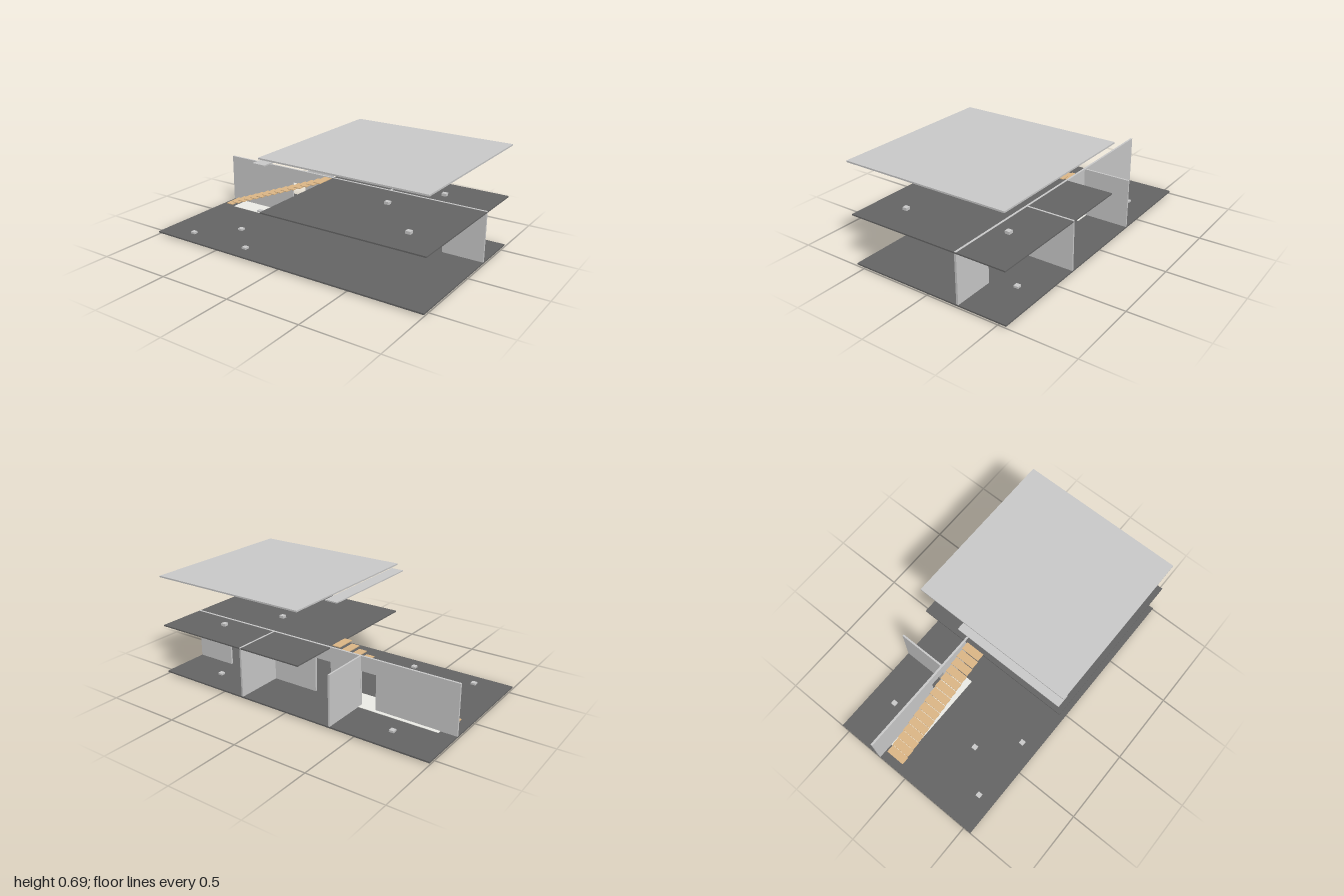
import * as THREE from 'three';

const paint = (color) => new THREE.MeshStandardMaterial({ color });

export function createModel() {
  const model = new THREE.Group();
  const grey = paint(0xcccccc);
  const dark = paint(0x666666);
  const wood = paint(0xdeb887);
  const pale = paint(0xeeeee8);

  // Box given by its extents along each axis
  const block = (name, [x0, x1], [y0, y1], [z0, z1], material) => {
    const mesh = new THREE.Mesh(new THREE.BoxGeometry(x1 - x0, y1 - y0, z1 - z0), material);
    mesh.position.set((x0 + x1) / 2, (y0 + y1) / 2, (z0 + z1) / 2);
    mesh.name = name;
    model.add(mesh);
  };

  const depth = [-0.555, 0.555];
  const floorTop = 0.02, wallTop = 0.3535;

  // Floors and raised roof panels
  block('groundFloor', [-1, 1], [0.01, floorTop], depth, dark);
  block('upperFloor', [-0.113, 1], [0.343, 0.352], depth, dark);
  block('roofPanel', [-0.113, 1], [0.682, 0.692], depth, grey);
  block('roofStrip', [-0.157, -0.07], [0.644, 0.652], [-0.22, 0.555], grey);

  // Long wall with three door openings cut up from the floor
  const doors = [[-0.45, -0.342], [-0.118, 0], [0.44, 0.722]];
  const outline = new THREE.Shape();
  outline.moveTo(-1, floorTop);
  for (const [a, b] of doors) {
    outline.lineTo(a, floorTop).lineTo(a, 0.255).lineTo(b, 0.255).lineTo(b, floorTop);
  }
  outline.lineTo(1, floorTop).lineTo(1, wallTop).lineTo(-1, wallTop).closePath();
  const wall = new THREE.Mesh(
    new THREE.ExtrudeGeometry(outline, { depth: 0.014, bevelEnabled: false }), grey);
  wall.position.z = -0.23;
  wall.name = 'longWall';
  model.add(wall);

  // Cross walls dividing the back rooms
  for (const x of [-0.335, 0.333]) {
    block('crossWall', [x - 0.006, x + 0.006], [floorTop, wallTop], [-0.555, -0.23], grey);
  }

  // Pale pad beneath the stairs
  block('stairPad', [-0.893, -0.222], [floorTop, 0.0225], [-0.255, -0.085], pale);

  // Open staircase of floating treads
  for (let i = 0; i < 15; i++) {
    const x = -0.945 + i * 0.0557, y = 0.039 + i * 0.0223;
    block('stairTread', [x, x + 0.0557], [y, y + 0.005], [-0.2, -0.066], wood);
  }

  // Small cubes set into each floor
  const cubes = (name, y, spots) => spots.forEach(([x, z]) =>
    block(name, [x - 0.016, x + 0.016], [y, y + 0.033], [z - 0.016, z + 0.016], grey));
  cubes('groundFloorCube', 0, [[-0.78, 0.445], [-0.335, 0.445], [-0.557, 0.223],
    [-0.668, -0.11], [-0.668, -0.389], [0.665, -0.389]]);
  cubes('upperFloorCube', 0.337, [[0.443, 0], [0.665, -0.333], [0.776, 0.335]]);

  return model;
}
